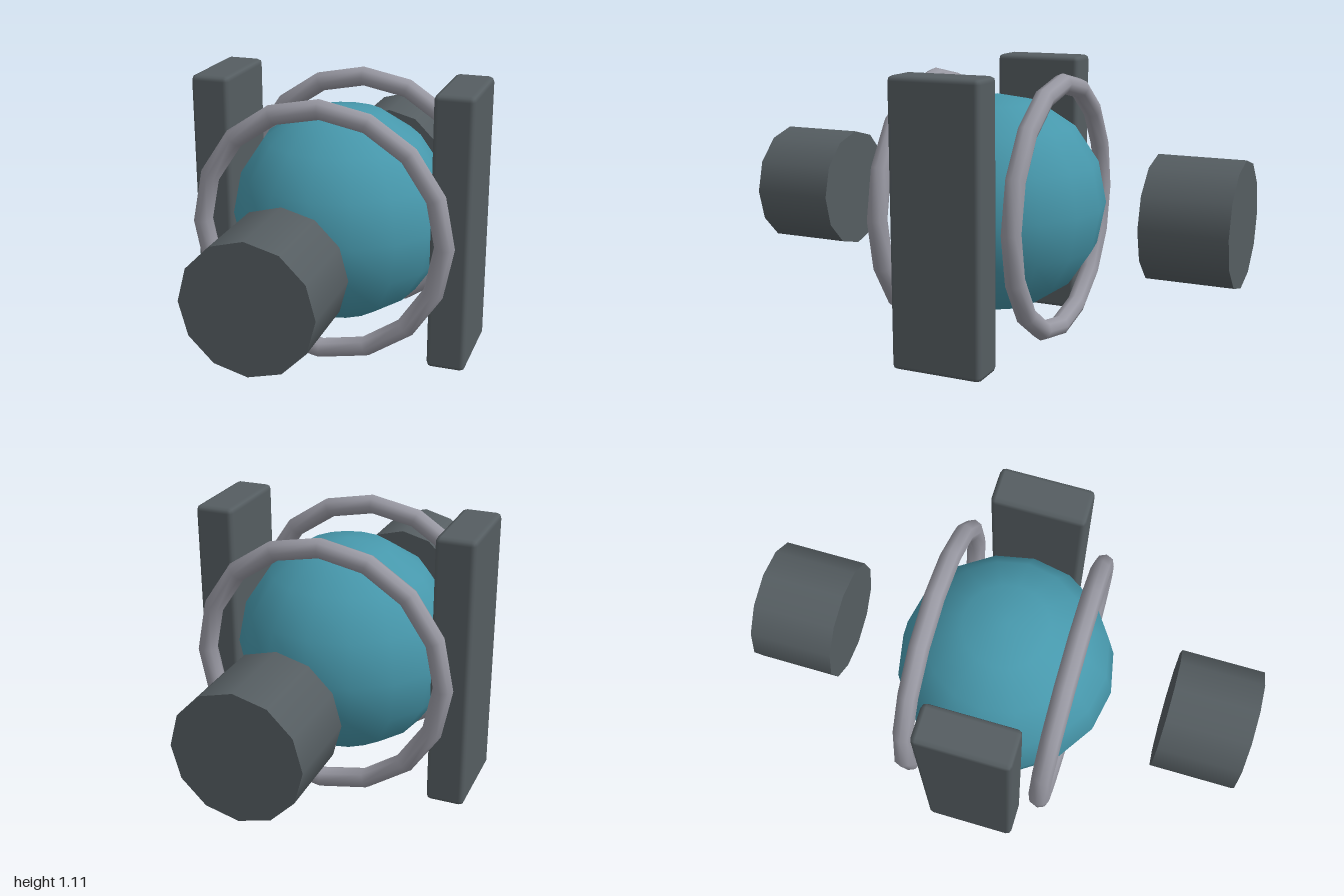
import * as THREE from 'three';
import { RoundedBoxGeometry } from 'three/addons/geometries/RoundedBoxGeometry.js';

const CENTRE_Y = 0.557;

export function createModel() {
  const model = new THREE.Group();
  const material = (name, color) => {
    const m = new THREE.MeshStandardMaterial({ color });
    m.name = name;
    return m;
  };
  const darkGrey = material('dark grey', 0x555d61);
  const teal = material('teal', 0x4798ac);
  const lightGrey = material('light grey', 0x9999a3);

  const add = (name, geometry, mat, x, z) => {
    const mesh = new THREE.Mesh(geometry, mat);
    mesh.name = name;
    mesh.position.set(x, CENTRE_Y, z);
    model.add(mesh);
  };

  // Central ball
  add('ball', new THREE.SphereGeometry(0.44, 16, 8), teal, 0, 0);

  // Parts that come in mirrored pairs
  const panel = new RoundedBoxGeometry(0.156, 2 * CENTRE_Y, 0.37, 1, 0.02);
  const ring = new THREE.TorusGeometry(0.491, 0.04, 8, 16);
  const drum = new THREE.CylinderGeometry(0.244, 0.244, 0.333, 12).rotateX(Math.PI / 2);
  for (const s of [1, -1]) {
    add(s > 0 ? 'leftPanel' : 'rightPanel', panel, darkGrey, s * 0.487, 0);
    add(s > 0 ? 'frontRing' : 'backRing', ring, lightGrey, 0, s * 0.276);
    add(s > 0 ? 'frontDrum' : 'backDrum', drum, darkGrey, 0, s * 0.8335);
  }
  return model;
}
